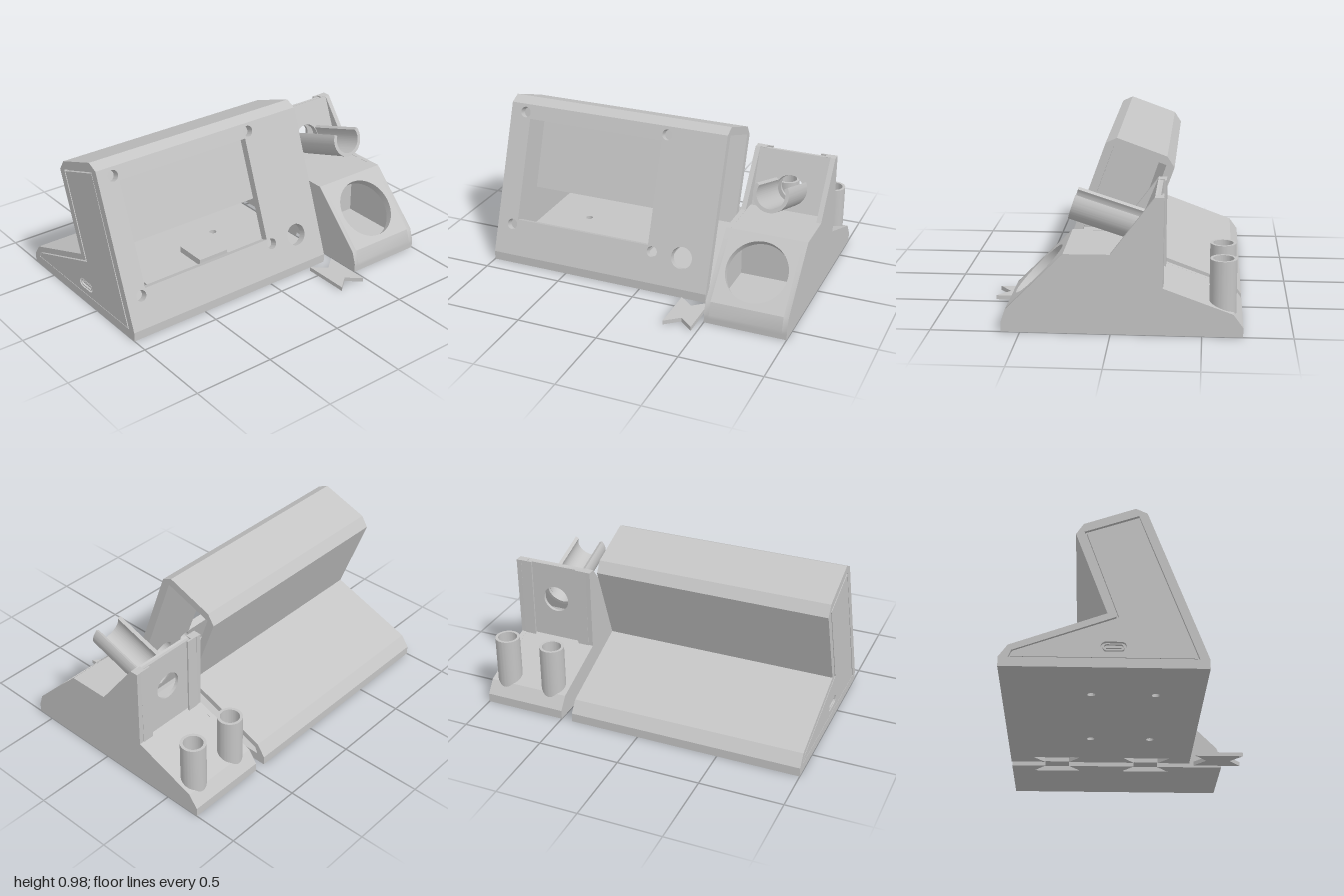
import * as THREE from 'three';
import { toCreasedNormals } from 'three/addons/utils/BufferGeometryUtils.js';

const grey = new THREE.MeshStandardMaterial({ color: 0xc4c4c4 });
grey.name = 'light grey plastic';

const poly = (pts) => new THREE.Shape(pts.map(([x, y]) => new THREE.Vector2(x, y)));
const circle = (x, y, r) => new THREE.Path().absarc(x, y, r, 0, Math.PI * 2, true);
const rect = (x0, y0, x1, y1) => [[x0, y0], [x1, y0], [x1, y1], [x0, y1]];

// Horizontal slot outline with round ends
function slot(P, cx, cy, w, h) {
  const r = h / 2, d = w / 2 - r;
  const p = new P();
  p.absarc(cx + d, cy, r, -Math.PI / 2, Math.PI / 2, false);
  p.absarc(cx - d, cy, r, Math.PI / 2, Math.PI * 1.5, false);
  p.closePath();
  return p;
}

function extrude(shape, depth) {
  return new THREE.ExtrudeGeometry(shape, { depth, bevelEnabled: false, curveSegments: 32 });
}

function add(parent, name, geo) {
  const mesh = new THREE.Mesh(toCreasedNormals(geo, 0.5), grey);
  mesh.name = name;
  parent.add(mesh);
  return mesh;
}

// Profile in x/y, running from z0 to z1
const prism = (parent, name, shape, z0, z1) =>
  add(parent, name, extrude(shape, z1 - z0).translate(0, 0, z0));

// Plan in x/-z, running from y0 to y1
const plan = (parent, name, shape, y0, y1) =>
  add(parent, name, extrude(shape, y1 - y0).rotateX(-Math.PI / 2).translate(0, y0, 0));

// Shape in the plane spanned by -z and the direction a->b; it faces +x and rises from a
function tilt(geo, a, b) {
  const up = new THREE.Vector3(b[0] - a[0], b[1] - a[1], 0).normalize();
  const out = new THREE.Vector3(up.y, -up.x, 0);
  const m = new THREE.Matrix4().makeBasis(new THREE.Vector3(0, 0, -1), up, out);
  return geo.applyMatrix4(m.setPosition(a[0], a[1], 0));
}

// Tilted wall from a up to b, with the outer face on that line
function wall(parent, name, a, b, x0, x1, thick, holes) {
  const shape = poly(rect(x0, 0, x1, Math.hypot(b[0] - a[0], b[1] - a[1])));
  shape.holes.push(...holes);
  return add(parent, name, tilt(extrude(shape, thick).translate(0, 0, -thick), a, b));
}

const jointX = [0.12, -0.44];
// Dovetail socket outline; dir is the way it cuts in from the edge
const socket = (cx, edge, dir) => [
  [cx + 0.075, edge], [cx + 0.147, edge + dir * 0.0875],
  [cx - 0.147, edge + dir * 0.0875], [cx - 0.075, edge]];

function buildHousing() {
  const g = new THREE.Group();
  g.name = 'housing';

  // Bent shell of deck, rear wall and top
  prism(g, 'shell', poly([
    [-0.725, 0.05], [-0.725, 0.055], [-0.675, 0.125], [-0.15, 0.32], [-0.327, 0.81],
    [-0.285, 0.875], [0.005, 0.98], [0.07, 0.95], [0.023, 0.933], [-0.28, 0.825],
    [-0.1, 0.30], [-0.655, 0.095], [-0.675, 0.05]].reverse()), -0.43, 1);

  // Floor in two layers, the lower one with joint sockets
  const screws = () => [0.126, -0.23].flatMap((x) => [0.64, -0.025].map((z) => circle(x, -z, 0.022)));
  const lower = poly([[-0.725, -1], [0.396, -1], [0.396, 0.43],
    ...jointX.flatMap((x) => socket(x, 0.43, -1)), [-0.725, 0.43]]);
  lower.holes.push(...screws());
  plan(g, 'lowerFloor', lower, 0, 0.03);
  const upper = poly(rect(-0.725, -1, 0.396, 0.43));
  upper.holes.push(...screws());
  plan(g, 'upperFloor', upper, 0.03, 0.055);

  // Sloping face with screen window, screw holes and button hole
  const s = (y) => (y - 0.055) / 0.94;
  const holes = [new THREE.Path(poly(rect(-0.865, s(0.268), 0.025, s(0.867))).getPoints())];
  for (const z of [0.9, -0.055]) for (const y of [0.902, 0.235]) holes.push(circle(-z, s(y), 0.033));
  holes.push(circle(0.248, s(0.232), 0.067));
  wall(g, 'screenFace', [0.396, 0.055], [0.07, 0.95], -1, 0.43, 0.05, holes);

  // Front end cover set in a narrow groove
  prism(g, 'coverBacking', poly([[0.345, 0.05], [0.025, 0.933], [-0.28, 0.825],
    [-0.1, 0.30], [-0.655, 0.095], [-0.675, 0.05]]), 0.955, 0.98);
  const cover = poly([[0.33, 0.058], [0.024, 0.92], [-0.268, 0.818],
    [-0.087, 0.295], [-0.648, 0.09], [-0.66, 0.058]]);
  cover.holes.push(slot(THREE.Path, -0.115, 0.122, 0.14, 0.058));
  prism(g, 'cover', cover, 0.975, 1);

  // Charging port
  const port = slot(THREE.Shape, -0.115, 0.122, 0.118, 0.042);
  port.holes.push(slot(THREE.Path, -0.115, 0.122, 0.104, 0.03));
  prism(g, 'portRim', port, 0.975, 0.997);
  prism(g, 'portTongue', poly(rect(-0.155, 0.117, -0.075, 0.127)), 0.975, 0.992);

  // Circuit board with pin holes and a chip
  const board = poly(rect(-0.27, -0.67, 0.165, 0.06));
  board.holes.push(...screws());
  for (let i = 0; i < 11; i++) board.holes.push(circle(0.133, -0.06 - i * 0.027, 0.008));
  plan(g, 'circuitBoard', board, 0.055, 0.075);
  plan(g, 'chip', poly(rect(-0.15, -0.29, 0.06, -0.08)), 0.075, 0.115);
  return g;
}

function buildStand() {
  const g = new THREE.Group();
  g.name = 'toolStand';

  // Base layer with joint sockets
  plan(g, 'standBase', poly([[0.605, 1], [-0.725, 1], [-0.725, 0.5],
    ...[...jointX].reverse().flatMap((x) => socket(x, 0.5, 1).reverse()), [0.605, 0.5]]), 0, 0.03);

  // Side cheeks
  const cheek = [[-0.725, 0.03], [0.605, 0.03], [0.605, 0.055], [0.58, 0.13], [0.257, 0.453],
    [0, 0.455], [-0.24, 0.775], [-0.29, 0.775], [-0.285, 0.27], [-0.67, 0.13], [-0.725, 0.055]];
  for (const z of [-1, -0.53]) prism(g, 'cheek', poly(cheek), z, z + 0.03);

  // Core with a cavity behind the sloping face
  prism(g, 'core', poly([[-0.725, 0.03], [0.605, 0.03], [0.605, 0.055], [0.58, 0.13],
    [0.545, 0.095], [0.545, 0.05], [0.05, 0.05], [0.05, 0.30], [0.222, 0.418], [0.257, 0.453],
    [-0.09, 0.453], [-0.12, 0.36], [-0.27, 0.36], [-0.27, 0.275], [-0.67, 0.13], [-0.725, 0.055]]),
  -0.97, -0.53);
  wall(g, 'spongeFace', [0.58, 0.13], [0.257, 0.453], 0.53, 0.97, 0.05, [circle(0.75, 0.226, 0.187)]);

  // Holder plates with a bore, and the jambs they slide between
  wall(g, 'rearPlate', [-0.25, 0.36], [-0.25, 0.77], 0.57, 0.93, 0.02, [circle(0.75, 0.18, 0.083)]);
  wall(g, 'tiltedPlate', [-0.09, 0.40], [-0.24, 0.775], 0.53, 0.97, 0.03, [circle(0.75, 0.18, 0.085)]);
  for (const z of [-0.97, -0.565]) {
    prism(g, 'jamb', poly(rect(-0.288, 0.26, -0.245, 0.775)), z, z + 0.035);
  }
  for (const z of [-0.935, -0.6]) {
    prism(g, 'slotHook', poly(rect(-0.288, 0.26, -0.278, 0.775)), z, z + 0.035);
  }

  // Open cradle, tilted upwards
  const trough = new THREE.Shape();
  const a0 = -Math.PI * 7 / 6, a1 = Math.PI / 6;
  trough.absarc(0, 0, 0.108, a0, a1, false);
  trough.absarc(0, 0, 0.086, a1, a0, true);
  trough.closePath();
  const a = [-0.2, 0.557];
  add(g, 'cradle', tilt(extrude(trough, 0.44), a, [a[0] - 0.31, a[1] + 0.951]).translate(0, 0, -0.752));

  // Upright tip tubes
  for (const z of [-0.905, -0.605]) {
    const ring = new THREE.Shape().absarc(-0.613, -z, 0.074, 0, Math.PI * 2, false);
    ring.holes.push(circle(-0.613, -z, 0.057));
    plan(g, 'tipTube', ring, 0.1, 0.42);
  }
  return g;
}

export function createModel() {
  const model = new THREE.Group();
  model.name = 'solderingStation';
  model.add(buildHousing(), buildStand());

  // Loose dovetail key
  plan(model, 'dovetailKey', poly([[0.425, 0.29], [0.72, 0.29], [0.647, 0.378],
    [0.72, 0.465], [0.425, 0.465], [0.498, 0.378]]), 0, 0.025);
  return model;
}
